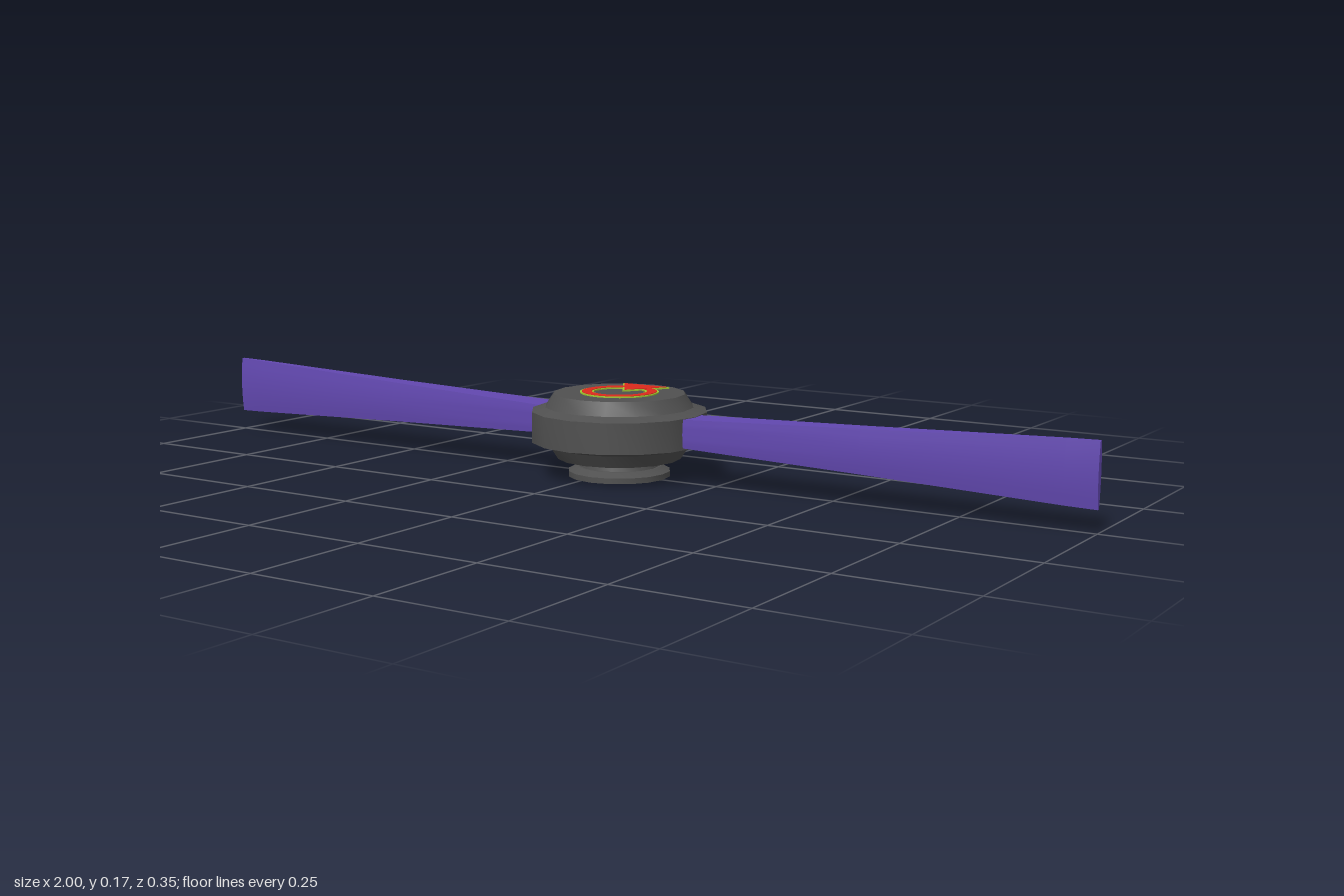
import * as THREE from 'three';
import { toCreasedNormals } from 'three/addons/utils/BufferGeometryUtils.js';

const HUB_X = 0.027;
const paint = (color) => new THREE.MeshStandardMaterial({ color });
const DARK = paint(0x505050), PURPLE = paint(0x6248b0), RED = paint(0xdd2a1c), LIME = paint(0xa0c832);

function add(parent, name, geometry, material) {
  const mesh = new THREE.Mesh(geometry, material);
  mesh.name = name;
  parent.add(mesh);
  return mesh;
}

// Solid of revolution with crisp profile edges
function turned(profile) {
  const points = profile.map(([r, y]) => new THREE.Vector2(r, y));
  return toCreasedNormals(new THREE.LatheGeometry(points, 16), 0.45);
}

// Blade along +x: a slightly bulged box section that grows taller and thinner
function bladeGeometry(length) {
  // distance, half height, half depth at middle, half depth at corners
  const stations = [
    [0.1, 0.026, 0.036, 0.035],
    [0.17, 0.028, 0.036, 0.034],
    [length * 0.55, 0.042, 0.024, 0.02],
    [length * 0.94, 0.058, 0.012, 0.007],
    [length, 0.06, 0.007, 0.003],
  ];
  const steps = 6, ring = 2 * (steps + 1), pos = [], index = [];
  for (const [x, h, mid, corner] of stations) {
    for (const side of [1, -1]) {
      for (let i = 0; i <= steps; i++) {
        const v = (i / steps) * 2 - 1;
        pos.push(x, -side * v * h, side * (mid + (corner - mid) * v * v));
      }
    }
  }
  for (let s = 0; s < stations.length - 1; s++) {
    for (let i = 0; i < ring; i++) {
      const a = s * ring + i, b = s * ring + ((i + 1) % ring);
      index.push(a, b, a + ring, b, b + ring, a + ring);
    }
  }
  // End caps
  const last = (stations.length - 1) * ring;
  for (let i = 1; i < ring - 1; i++) {
    index.push(0, i + 1, i, last, last + i, last + i + 1);
  }
  const g = new THREE.BufferGeometry();
  g.setAttribute('position', new THREE.Float32BufferAttribute(pos, 3));
  g.setIndex(index);
  return toCreasedNormals(g, 0.6);
}

// Flat raised trim lying on the hub's top
function trim(shape, height) {
  const g = new THREE.ExtrudeGeometry(shape, { depth: height, bevelEnabled: false, curveSegments: 32 });
  return g.rotateX(-Math.PI / 2).translate(0, 0.164, 0);
}

function ringShape(outer, inner) {
  const shape = new THREE.Shape().absarc(0, 0, outer, 0, Math.PI * 2);
  shape.holes.push(new THREE.Path().absarc(0, 0, inner, 0, Math.PI * 2, true));
  return shape;
}

function wedgeShape(grow) {
  return new THREE.Shape([
    new THREE.Vector2(-0.05 - grow, 0.095 + grow * 0.6),
    new THREE.Vector2(0, 0.018 - grow * 1.3),
    new THREE.Vector2(0.05 + grow, 0.095 + grow * 0.6),
  ]);
}

export function createModel() {
  const model = new THREE.Group();
  model.name = 'twoBladeRotor';

  const hub = new THREE.Group();
  hub.name = 'hub';
  hub.position.x = HUB_X;
  model.add(hub);

  // Stepped foot and bevelled drum
  add(hub, 'foot', turned([
    [0, 0], [0.102, 0], [0.102, 0.011], [0.084, 0.02], [0.079, 0.02], [0.074, 0.038], [0, 0.038],
  ]), DARK);
  add(hub, 'drum', turned([
    [0, 0.036], [0.123, 0.036], [0.139, 0.061], [0.175, 0.07],
    [0.175, 0.131], [0.148, 0.139], [0.131, 0.165], [0, 0.165],
  ]), DARK);

  // Red ring and wedge marker with lime edging
  add(hub, 'ringEdging', trim(ringShape(0.078, 0.051), 0.0035), LIME);
  add(hub, 'ring', trim(ringShape(0.074, 0.055), 0.0045), RED);
  add(hub, 'markerEdging', trim(wedgeShape(0.005), 0.004), LIME);
  add(hub, 'marker', trim(wedgeShape(0), 0.005), RED);

  // Opposed blades reaching x = 1 and x = -1
  for (const side of [1, -1]) {
    const blade = add(model, side > 0 ? 'leftBlade' : 'rightBlade', bladeGeometry(1 - side * HUB_X), PURPLE);
    blade.position.set(HUB_X, 0.102, 0);
    blade.rotation.y = side > 0 ? 0 : Math.PI;
  }
  return model;
}
